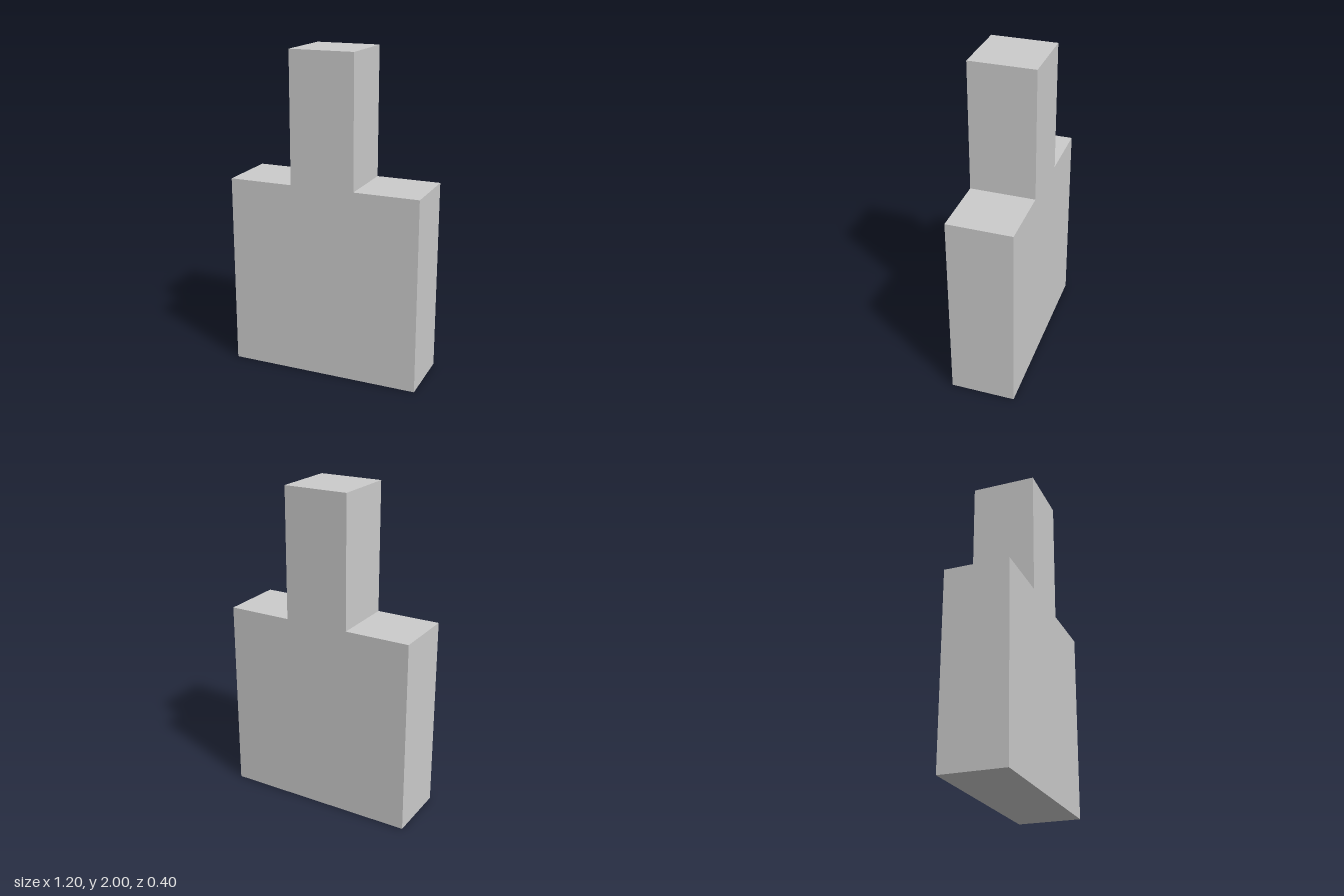
import * as THREE from 'three';

const DEPTH = 0.4;

export function createModel() {
  const group = new THREE.Group();
  group.name = 'steppedBlock';

  // Wide base with a narrow neck, as one continuous outline
  const outline = new THREE.Shape([
    [-0.6, 0], [0.6, 0], [0.6, 1.2], [0.2, 1.2],
    [0.2, 2], [-0.2, 2], [-0.2, 1.2], [-0.6, 1.2],
  ].map(([x, y]) => new THREE.Vector2(x, y)));

  const geometry = new THREE.ExtrudeGeometry(outline, { depth: DEPTH, bevelEnabled: false });
  geometry.translate(0, 0, -DEPTH / 2);

  const material = new THREE.MeshStandardMaterial({ color: 0xcccccc, flatShading: true });
  const body = new THREE.Mesh(geometry, material);
  body.name = 'baseAndNeck';
  group.add(body);

  return group;
}
